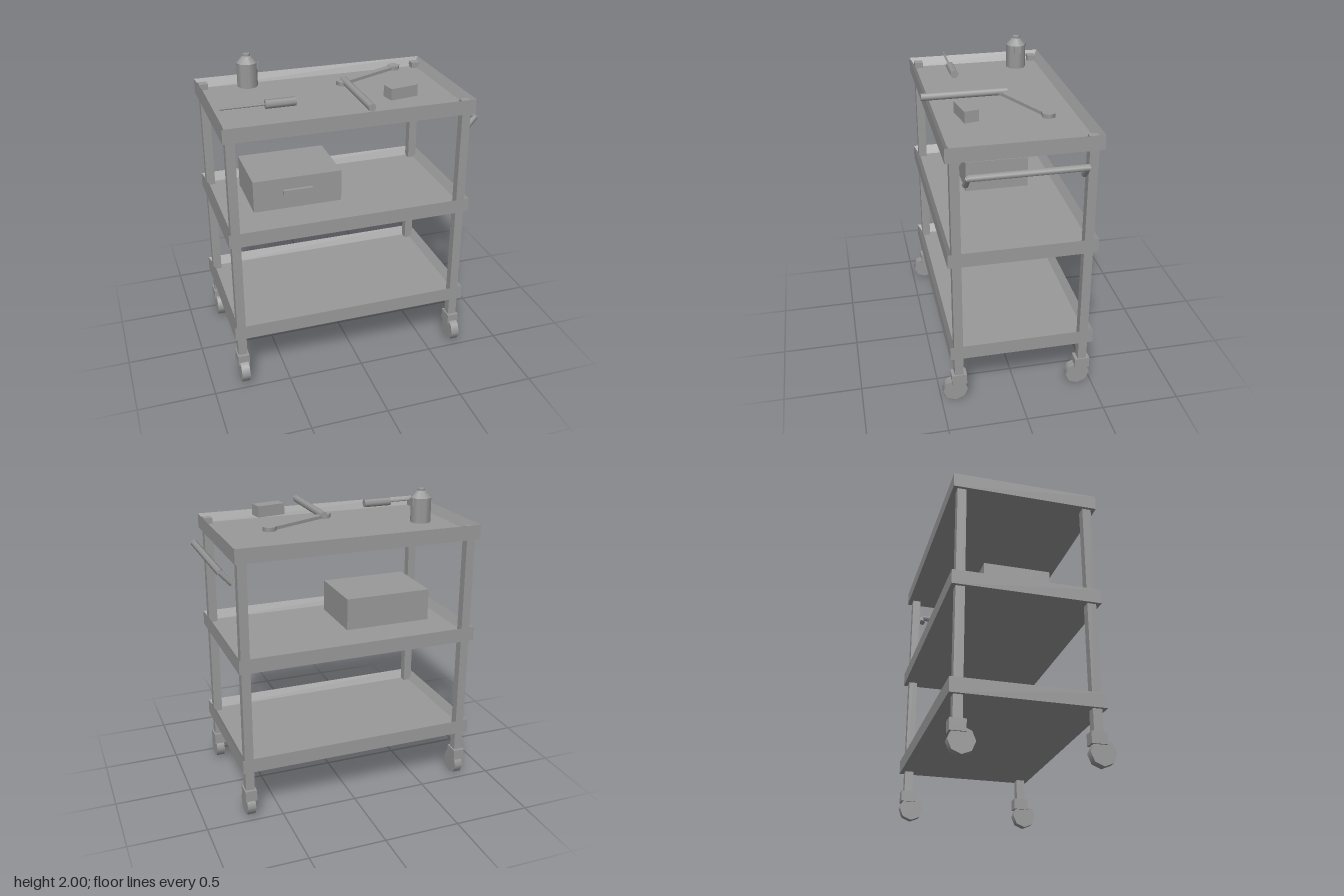
import * as THREE from 'three';

const steel = new THREE.MeshStandardMaterial({ color: 0x999999 });
steel.name = 'plain grey';

const CX = -0.043, CZ = -0.024; // centre of the trays

function add(parent, name, geometry, x = 0, y = 0, z = 0) {
  const m = new THREE.Mesh(geometry, steel);
  m.name = name;
  m.position.set(x, y, z);
  parent.add(m);
  return m;
}

const box = (parent, name, w, h, d, x, y, z) =>
  add(parent, name, new THREE.BoxGeometry(w, h, d), x, y, z);

// Straight rod between two points
function rod(parent, name, a, b, r0, r1, sides) {
  const from = new THREE.Vector3(...a), to = new THREE.Vector3(...b);
  const dir = to.clone().sub(from);
  const m = add(parent, name, new THREE.CylinderGeometry(r1, r0, dir.length(), sides));
  m.position.copy(from).add(to).multiplyScalar(0.5);
  m.quaternion.setFromUnitVectors(new THREE.Vector3(0, 1, 0), dir.normalize());
  return m;
}

// Shallow tray: upright outside, sloped inner rim, flat floor
function trayGeometry(w, d, h, rim, depth) {
  const ring = (inset, y) => [[-1, 1], [1, 1], [1, -1], [-1, -1]]
    .map(([sx, sz]) => [sx * (w / 2 - inset), y, sz * (d / 2 - inset)]);
  const rings = [ring(0, 0), ring(0, h), ring(rim, h - depth)];
  const pos = [];
  const quad = (a, b, c, e) => [a, b, c, a, c, e].forEach(p => pos.push(...p));
  for (let k = 0; k < 2; k++) {
    for (let i = 0; i < 4; i++) {
      const j = (i + 1) % 4;
      quad(rings[k][i], rings[k][j], rings[k + 1][j], rings[k + 1][i]);
    }
  }
  quad(...rings[2]);
  quad(...rings[0].slice().reverse());
  const g = new THREE.BufferGeometry();
  g.setAttribute('position', new THREE.Float32BufferAttribute(pos, 3));
  g.computeVertexNormals();
  return g;
}

export function createModel() {
  const model = new THREE.Group();
  model.name = 'toolTrolley';

  // Three trays
  const tray = trayGeometry(1.585, 0.927, 0.093, 0.037, 0.055);
  [['bottomTray', 0.34], ['middleTray', 1.017], ['topTray', 1.699]]
    .forEach(([name, y]) => add(model, name, tray, CX, y, CZ));

  // Legs with casters
  for (const sx of [-1, 1]) {
    for (const sz of [-1, 1]) {
      const corner = new THREE.Group();
      corner.name = (sz > 0 ? 'front' : 'back') + (sx > 0 ? 'Left' : 'Right') + 'Leg';
      corner.position.set(CX + sx * 0.745, 0, CZ + sz * 0.407);
      model.add(corner);
      box(corner, 'post', 0.057, 1.595, 0.057, 0, 0.9775, 0);
      box(corner, 'casterFork', 0.075, 0.073, 0.097, 0, 0.163, 0);
      const wheel = add(corner, 'wheel', new THREE.CylinderGeometry(0.08, 0.08, 0.055, 8), 0, 0.08, 0.025);
      wheel.rotation.z = Math.PI / 2;
    }
  }

  // Push handle on the side
  const handle = new THREE.Group();
  handle.name = 'pushHandle';
  model.add(handle);
  rod(handle, 'grip', [0.809, 1.627, -0.378], [0.809, 1.627, 0.328], 0.022, 0.022, 6);
  for (const s of [-1, 1]) {
    rod(handle, 'bracket', [0.742, 1.555, CZ + s * 0.348], [0.815, 1.631, CZ + s * 0.345], 0.021, 0.017, 6);
  }

  // Storage box on the middle tray
  const storage = new THREE.Group();
  storage.name = 'storageBox';
  model.add(storage);
  box(storage, 'boxBody', 0.58, 0.21, 0.426, -0.332, 1.21, -0.025);
  box(storage, 'boxPull', 0.192, 0.03, 0.024, -0.334, 1.221, 0.198);

  // Bottle with a small label plate
  const bottle = new THREE.Group();
  bottle.name = 'bottle';
  bottle.position.set(-0.527, 0, -0.259);
  model.add(bottle);
  add(bottle, 'bottleBody', new THREE.CylinderGeometry(0.067, 0.067, 0.156, 8), 0, 1.866, 0);
  add(bottle, 'bottleShoulder', new THREE.CylinderGeometry(0.028, 0.067, 0.043, 8), 0, 1.9655, 0);
  add(bottle, 'bottleNeck', new THREE.CylinderGeometry(0.024, 0.024, 0.02, 8), 0, 1.99, 0);
  box(bottle, 'bottleLabel', 0.009, 0.047, 0.044, 0.064, 1.918, 0);

  // Screwdriver
  const driver = new THREE.Group();
  driver.name = 'screwdriver';
  model.add(driver);
  rod(driver, 'driverShaft', [-0.8, 1.823, 0.2], [-0.525, 1.823, 0.2], 0.007, 0.007, 6);
  rod(driver, 'driverHandle', [-0.525, 1.823, 0.2], [-0.335, 1.823, 0.2], 0.028, 0.028, 6);

  // Spanner: flat bar with a hexagonal head at each end
  const spanner = new THREE.Group();
  spanner.name = 'spanner';
  spanner.position.set(0.25, 1.823, -0.128);
  spanner.rotation.y = Math.atan2(0.197, 0.422);
  model.add(spanner);
  box(spanner, 'spannerBar', 0.45, 0.02, 0.045, 0, 0, 0);
  for (const s of [-1, 1]) {
    add(spanner, 'spannerHead', new THREE.CylinderGeometry(0.043, 0.043, 0.026, 6), s * 0.232, 0, 0);
  }

  // Loose rod and block
  rod(model, 'looseRod', [0.054, 1.831, -0.068], [0.054, 1.831, 0.474], 0.024, 0.024, 8);
  box(model, 'block', 0.188, 0.073, 0.092, 0.326, 1.83, 0.24).rotation.y = 0.178;

  return model;
}
